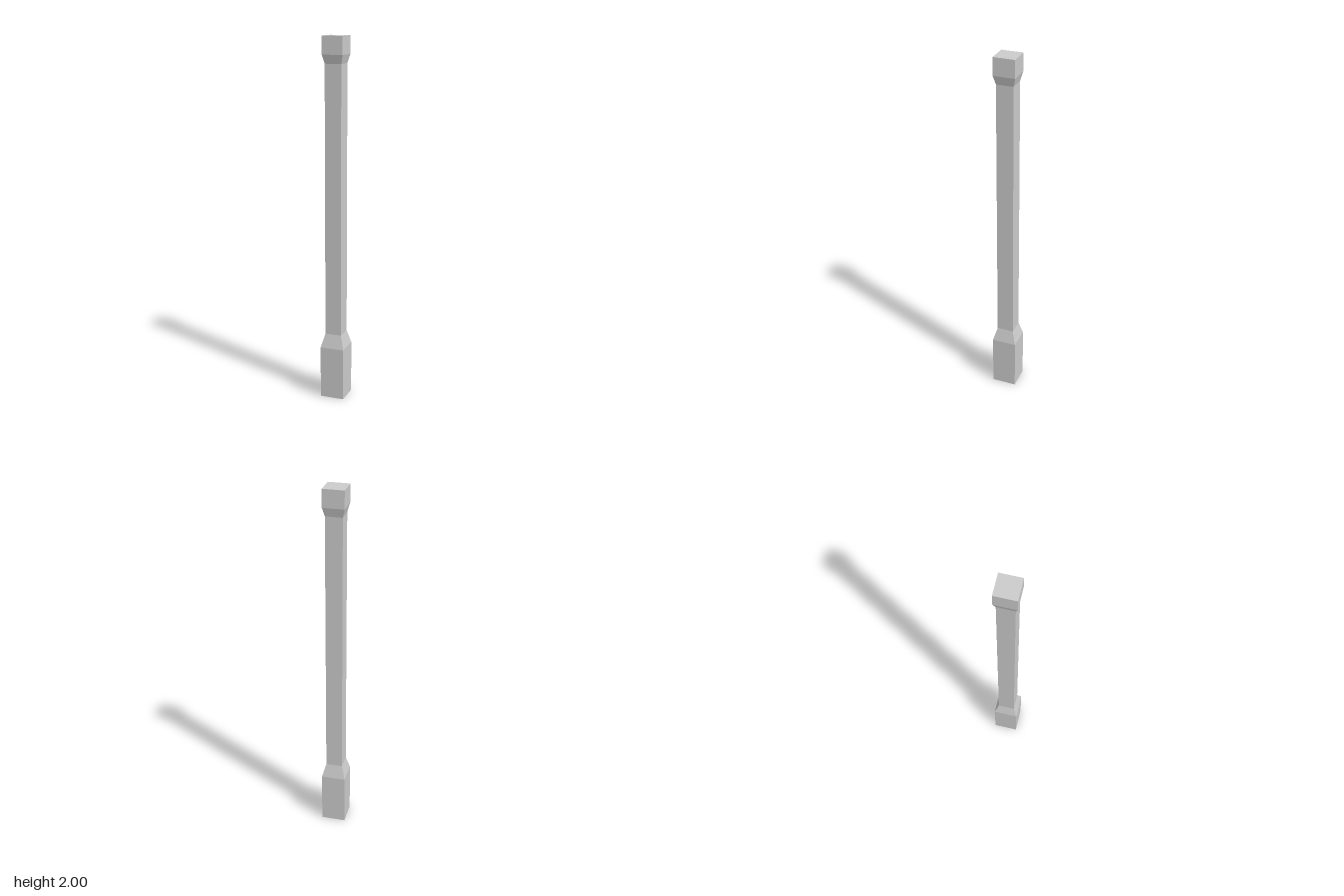
import * as THREE from 'three';

// [half width, height] of the square section, from the foot to the top
const PROFILE = [
  [0, 0], [0.067, 0], [0.067, 0.293], [0.046, 0.37],
  [0.046, 1.857], [0.058, 1.904], [0.058, 2], [0, 2],
];

export function createModel() {
  const group = new THREE.Group();
  group.name = 'squarePost';

  // Four-sided lathe, started at a corner so the flat sides face the axes
  const points = PROFILE.map(([half, y]) => new THREE.Vector2(half * Math.SQRT2, y));
  const geometry = new THREE.LatheGeometry(points, 4, Math.PI / 4);
  const material = new THREE.MeshStandardMaterial({ color: 0xcccccc, flatShading: true });

  // Post with a wide plinth, slim shaft and flared cap in one closed surface
  const post = new THREE.Mesh(geometry, material);
  post.name = 'post';
  post.scale.z = 1.015;
  group.add(post);
  return group;
}
